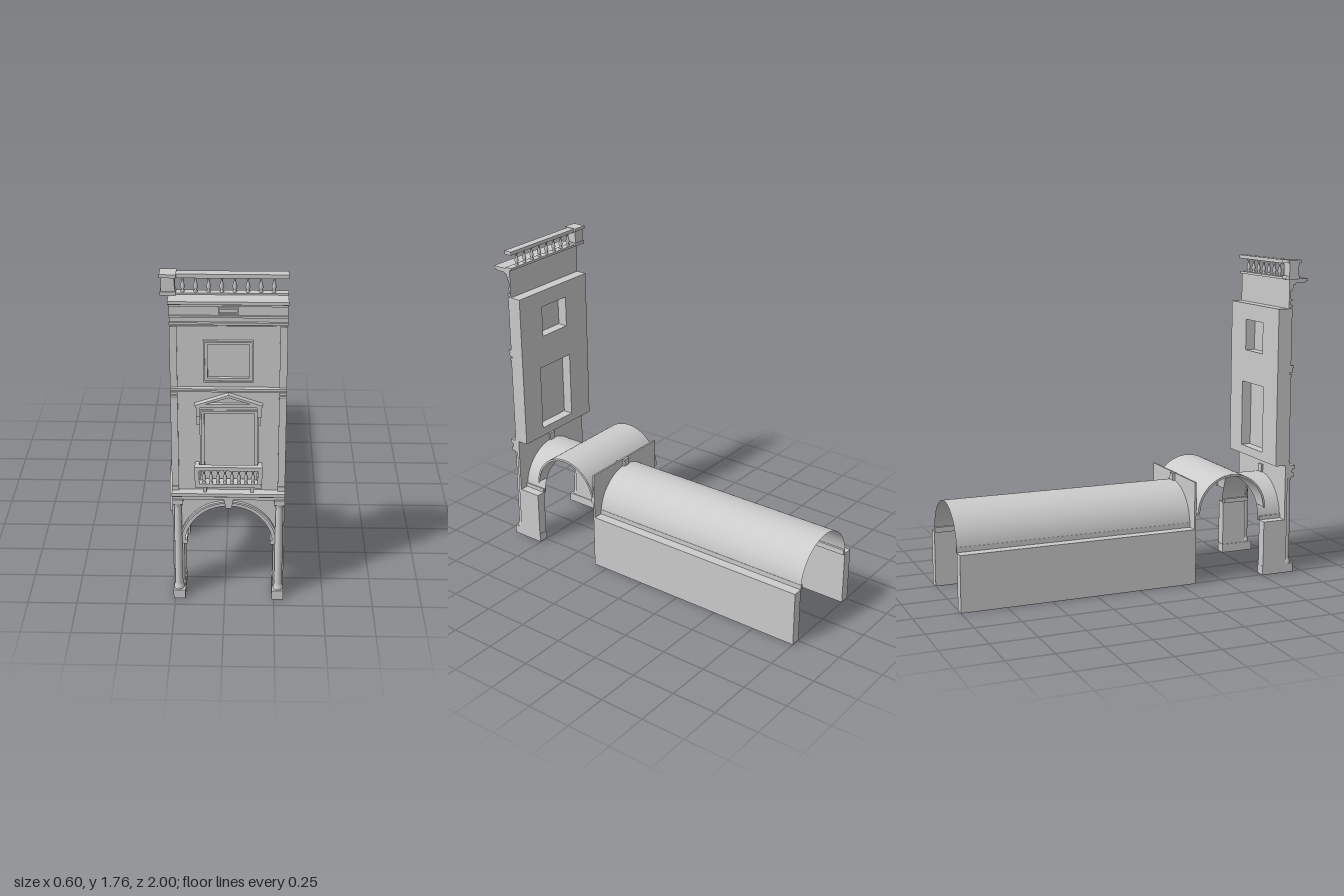
import * as THREE from 'three';
import { ParametricGeometry } from 'three/addons/geometries/ParametricGeometry.js';

const CX = 0.02, X0 = -0.26, X1 = 0.298;      // bay axis and outer edges
const R = 0.223, SPRING = 0.308;              // long barrel vault
const TR = 0.206, TY = 0.398, TZ = 0.54;      // cross vault

export function createModel() {
  const model = new THREE.Group();
  const solid = new THREE.MeshStandardMaterial({ color: 0xcccccc });
  const shell = new THREE.MeshStandardMaterial({ color: 0xcccccc, side: THREE.DoubleSide });

  const add = (name, geo, mat = solid, parent = model) => {
    const m = new THREE.Mesh(geo, mat);
    m.name = name;
    parent.add(m);
    return m;
  };
  // box given by its limits on each axis
  const box = (name, x0, x1, y0, y1, z0, z1, parent) => {
    const m = add(name, new THREE.BoxGeometry(x1 - x0, y1 - y0, z1 - z0), solid, parent);
    m.position.set((x0 + x1) / 2, (y0 + y1) / 2, (z0 + z1) / 2);
    return m;
  };
  const rect = (x0, x1, y0, y1, T = THREE.Shape) => {
    const s = new T();
    s.moveTo(x0, y0); s.lineTo(x1, y0); s.lineTo(x1, y1); s.lineTo(x0, y1); s.closePath();
    return s;
  };
  const extrude = (name, shape, z0, z1) => {
    const m = add(name, new THREE.ExtrudeGeometry(shape, { depth: z1 - z0, bevelEnabled: false, curveSegments: 32 }));
    m.position.z = z0;
    return m;
  };
  const frame = (name, x0, x1, y0, y1, w, z0, z1) => {
    const s = rect(x0, x1, y0, y1);
    s.holes.push(rect(x0 + w, x1 - w, y0 + w, y1 - w, THREE.Path));
    return extrude(name, s, z0, z1);
  };
  const surface = (name, fn, nu, nv) =>
    add(name, new ParametricGeometry((u, v, p) => { p.set(...fn(u, v)); }, nu, nv), shell);
  // wall with an arched opening reaching down to yBottom
  const archWall = (name, yBottom, yTop, r, z0, z1) => {
    const s = new THREE.Shape();
    s.moveTo(X0, yBottom); s.lineTo(CX - r, yBottom); s.lineTo(CX - r, SPRING);
    s.absarc(CX, SPRING, r, Math.PI, 0, true);
    s.lineTo(CX + r, yBottom); s.lineTo(X1, yBottom); s.lineTo(X1, yTop); s.lineTo(X0, yTop);
    s.closePath();
    return extrude(name, s, z0, z1);
  };
  const archRing = (name, r0, r1, z0, z1) => {
    const s = new THREE.Shape();
    s.absarc(CX, SPRING, r1, 0, Math.PI, false);
    s.absarc(CX, SPRING, r0, Math.PI, 0, true);
    return extrude(name, s, z0, z1);
  };
  const lathe = (pts, n = 12) => new THREE.LatheGeometry(pts.map(p => new THREE.Vector2(...p)), n);
  const balusters = (name, x0, x1, n, y, h, r, z) => {
    const geo = lathe([[0.8, 0], [0.8, 0.1], [0.45, 0.14], [1, 0.36], [0.4, 0.7], [0.4, 0.82], [0.8, 0.88], [0.8, 1]]
      .map(([a, b]) => [a * r, b * h]), 10);
    for (let i = 0; i < n; i++) add(name, geo).position.set(x0 + (x1 - x0) * i / (n - 1), y, z);
  };

  // long tunnel: side walls, impost ledges, barrel vault
  box('tunnelWall', X0, CX - R, 0, SPRING, -1, 0.33);
  box('tunnelWall', CX + R, X1, 0, SPRING, -1, 0.33);
  for (const s of [-1, 1]) {
    const a = CX + s * R, b = CX + s * (R - 0.014);
    box('impostLedge', Math.min(a, b), Math.max(a, b), 0.305, 0.335, -1, 0.33);
  }
  const zGroin = y => (y <= TY ? TR : Math.sqrt(Math.max(0, TR * TR - (y - TY) ** 2)));
  const barrel = (name, zFar, side) => surface(name, (u, v) => {
    const a = Math.PI * u, y = SPRING + R * Math.sin(a);
    const zEnd = TZ + side * zGroin(y);
    return [CX - R * Math.cos(a), y, zFar + (zEnd - zFar) * v];
  }, 48, 2);
  barrel('tunnelVault', -1, -1);
  barrel('entranceVault', 0.895, 1);

  // thin wall where the tunnel begins
  archWall('tunnelFrontWall', 0, 0.573, R, 0.325, 0.335);
  archRing('tunnelArchMoulding', R - 0.004, R + 0.02, 0.334, 0.342);
  box('tunnelKeystone', 0, 0.04, 0.525, 0.57, 0.312, 0.342);

  // cross vault, cut away where the long vault passes through it
  for (const [xe, s] of [[-0.285, -1], [X1, 1]]) {
    surface('crossVault', (u, v) => {
      const a = Math.PI * u, y = TY + TR * Math.sin(a);
      const xi = CX + s * Math.sqrt(Math.max(0, R * R - (y - SPRING) ** 2));
      return [xi + (xe - xi) * v, y, TZ + TR * Math.cos(a)];
    }, 64, 1);
    surface('crossVaultRim', (u, v) => {
      const a = Math.PI * u, r = TR - 0.012 * v;
      return [xe, TY + r * Math.sin(a), TZ + r * Math.cos(a)];
    }, 48, 1);
  }

  // entrance piers, columns, plinths and capitals
  const column = lathe([[0.026, 0.05], [0.026, 0.062], [0.022, 0.07], [0.02, 0.08], [0.02, 0.3], [0.0175, 0.525],
    [0.021, 0.53], [0.019, 0.536], [0.026, 0.55]], 24);
  for (const [a, b, s] of [[X0, CX - R, -1], [CX + R, X1, 1]]) {
    box('pier', a, b, 0.04, SPRING, 0.755, 0.888);
    box('pierFront', a, b, 0.04, 0.54, 0.885, 0.9);
    box('plinth', a - (s > 0 ? 0.004 : 0), b + (s < 0 ? 0.004 : 0), 0, 0.05, 0.753, 0.946);
    const cx = CX + s * 0.252;
    add('column', column).position.set(cx, 0, 0.912);
    box('columnCapital', cx - 0.026, cx + 0.026, 0.55, 0.576, 0.886, 0.938);
    const e = CX + s * (R - 0.005);
    box('archImpost', e - 0.01, e + 0.01, 0.305, 0.33, 0.755, 0.908);
  }

  // entrance arch, keystone and entablature
  archWall('entranceArchWall', SPRING, 0.62, R, 0.885, 0.9);
  archRing('archMoulding', R - 0.003, R + 0.022, 0.899, 0.91);
  archRing('archMouldingOuter', R + 0.015, R + 0.025, 0.899, 0.916);
  const key = new THREE.Shape();
  key.moveTo(0.005, 0.525); key.lineTo(0.035, 0.525); key.lineTo(0.043, 0.576); key.lineTo(-0.003, 0.576);
  extrude('keystone', key, 0.875, 0.928);
  box('entablature', X0, X1, 0.574, 0.592, 0.885, 0.928);
  box('entablatureCornice', X0, X1, 0.6, 0.618, 0.885, 0.946);
  box('entablatureFrieze', X0, X1, 0.592, 0.6, 0.885, 0.934);

  // upper wall block with window recesses open to the back
  const wall = rect(X0, X1, 0.62, 1.497);
  wall.holes.push(rect(-0.098, 0.153, 0.67, 1.045, THREE.Path));
  wall.holes.push(rect(-0.08, 0.12, 1.23, 1.405, THREE.Path));
  extrude('upperWall', wall, 0.823, 0.9);
  box('lowerWindowPane', -0.098, 0.153, 0.67, 1.045, 0.88, 0.888);
  box('upperWindowPane', -0.08, 0.12, 1.23, 1.405, 0.88, 0.888);
  frame('upperWindowFrame', -0.1, 0.137, 1.212, 1.427, 0.02, 0.895, 0.91);
  frame('upperWindowFrameEdge', -0.1, 0.137, 1.212, 1.427, 0.007, 0.895, 0.916);
  frame('lowerWindowFrame', -0.12, 0.166, 0.65, 1.065, 0.022, 0.895, 0.91);
  frame('lowerWindowFrameEdge', -0.12, 0.166, 0.65, 1.065, 0.008, 0.895, 0.916);

  // pilasters and storey band
  for (const [a, b] of [[X0, -0.225], [0.262, X1]]) {
    box('pilaster', a, b, 0.64, 1.125, 0.898, 0.908);
    box('pilasterBase', a, b, 0.618, 0.642, 0.898, 0.914);
    box('pilasterCapital', a, b, 1.145, 1.162, 0.898, 0.918);
    box('pilasterNeck', a, b, 1.12, 1.133, 0.898, 0.913);
    box('upperPilaster', a, b, 1.18, 1.497, 0.898, 0.906);
  }
  box('storeyBand', X0, X1, 1.16, 1.17, 0.895, 0.915);
  box('storeyBandTop', X0, X1, 1.17, 1.182, 0.895, 0.924);

  // pediment over the lower window
  const tri = (w, y0, y1, T = THREE.Shape) => {
    const s = new T();
    s.moveTo(CX - w, y0); s.lineTo(CX + w, y0); s.lineTo(CX, y1); s.closePath();
    return s;
  };
  extrude('pedimentField', tri(0.15, 1.1, 1.145), 0.898, 0.912);
  const rake = tri(0.165, 1.095, 1.152);
  rake.holes.push(tri(0.11, 1.103, 1.137, THREE.Path));
  extrude('pedimentMoulding', rake, 0.898, 0.93);
  box('pedimentCornice', -0.142, 0.182, 1.083, 1.097, 0.898, 0.926);
  box('windowFrieze', -0.132, 0.172, 1.062, 1.085, 0.898, 0.912);
  for (const s of [-1, 1]) {
    const x = CX + s * 0.147;
    box('console', x - 0.01, x + 0.01, 1.03, 1.084, 0.898, 0.924);
    box('consoleFoot', x - 0.008, x + 0.008, 0.98, 1.03, 0.898, 0.91);
  }

  // balcony
  box('balconyFloor', -0.145, 0.185, 0.658, 0.678, 0.898, 0.955);
  box('balconyRail', -0.145, 0.185, 0.753, 0.773, 0.93, 0.957);
  for (const s of [-1, 1]) {
    const x = CX + s * 0.154;
    box('balconyPost', x - 0.011, x + 0.011, 0.678, 0.755, 0.932, 0.954);
    box('balconySideRail', x - 0.01, x + 0.01, 0.753, 0.773, 0.898, 0.932);
    box('balconyBracket', CX + s * 0.116 - 0.008, CX + s * 0.116 + 0.008, 0.622, 0.66, 0.898, 0.935);
  }
  balusters('balconyBaluster', -0.1, 0.14, 8, 0.678, 0.076, 0.011, 0.943);

  // top frieze, dentils and main cornice
  box('topFrieze', X0, X1, 1.497, 1.64, 0.885, 0.895);
  box('architrave', X0, X1, 1.505, 1.517, 0.885, 0.908);
  box('architraveTop', X0, X1, 1.54, 1.55, 0.885, 0.904);
  frame('friezePanel', -0.03, 0.066, 1.558, 1.592, 0.007, 0.894, 0.906);
  box('dentilBed', X0, X1, 1.597, 1.61, 0.885, 0.905);
  for (let i = 0; i < 28; i++) {
    const x = X0 + 0.006 + i * 0.0199;
    box('dentil', x, x + 0.011, 1.61, 1.628, 0.89, 0.912);
  }
  box('corniceBed', X0, X1, 1.628, 1.64, 0.885, 0.925);
  box('cornice', X0, X1, 1.638, 1.652, 0.885, 0.985);
  box('corniceEdge', X0, X1, 1.645, 1.66, 0.885, 1);

  // roof balustrade and corner pedestal
  box('balustradeFoot', -0.23, X1, 1.655, 1.668, 0.872, 0.912);
  box('balustradeRail', -0.23, X1, 1.742, 1.762, 0.868, 0.915);
  balusters('roofBaluster', -0.194, 0.23, 8, 1.666, 0.078, 0.012, 0.892);
  box('pedestalBase', -0.298, -0.225, 1.66, 1.678, 0.86, 0.928);
  box('pedestal', -0.293, -0.23, 1.675, 1.75, 0.865, 0.923);
  box('pedestalCap', -0.3, -0.222, 1.748, 1.765, 0.855, 0.933);

  return model;
}
